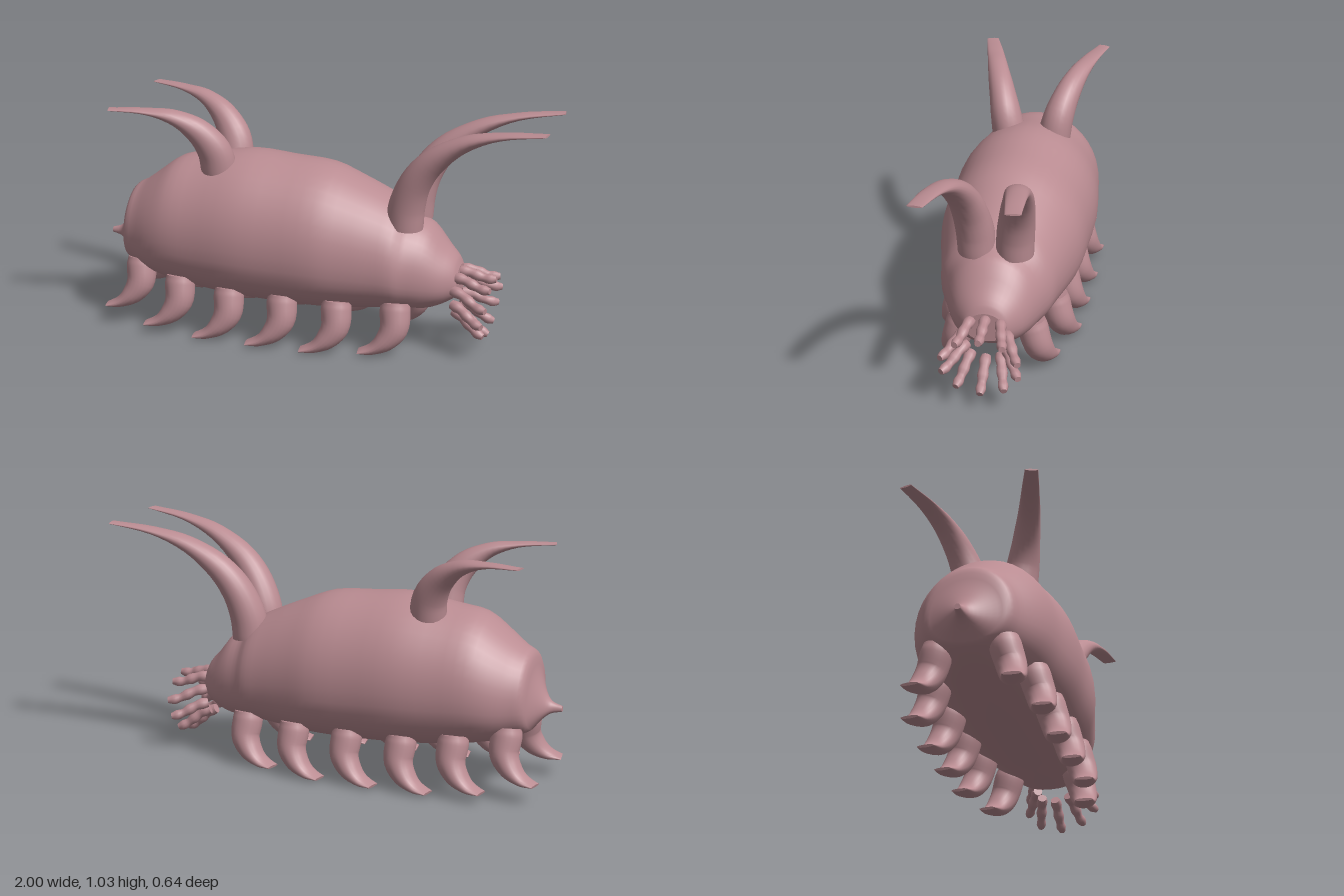
import * as THREE from 'three';

const V = (x, y, z) => new THREE.Vector3(x, y, z);

// Skins a list of closed rings (counter-clockwise around the direction of travel) and caps both ends
function skin(rings) {
  const n = rings[0].length, pos = [], idx = [];
  const push = (p) => pos.push(p.x, p.y, p.z);
  rings.forEach((r) => r.forEach(push));
  for (let i = 0; i < rings.length - 1; i++) {
    for (let j = 0; j < n; j++) {
      const a = i * n + j, b = i * n + (j + 1) % n;
      idx.push(a, b, a + n, b, b + n, a + n);
    }
  }
  [rings[0], rings[rings.length - 1]].forEach((ring, end) => {
    const base = pos.length / 3;
    ring.forEach(push);
    push(ring.reduce((s, p) => s.add(p), V(0, 0, 0)).divideScalar(n));
    for (let j = 0; j < n; j++) {
      const a = base + j, b = base + (j + 1) % n;
      if (end) idx.push(a, b, base + n); else idx.push(b, a, base + n);
    }
  });
  const g = new THREE.BufferGeometry();
  g.setAttribute('position', new THREE.Float32BufferAttribute(pos, 3));
  g.setIndex(idx);
  g.computeVertexNormals();
  return g;
}

// Sweeps an ellipse along a curve; each row is x, y, z, half thickness, half width in z
function horn(rows, steps = 24, sides = 20) {
  const path = new THREE.CatmullRomCurve3(rows.map((r) => V(r[0], r[1], r[2])));
  const size = new THREE.CatmullRomCurve3(rows.map((r) => V(r[3], r[4], 0)), false, 'catmullrom', 0.4);
  const rings = [];
  for (let i = 0; i <= steps; i++) {
    const c = path.getPoint(i / steps), t = path.getTangent(i / steps), s = size.getPoint(i / steps);
    const n = V(0, 0, 1).cross(t).normalize(), b = t.clone().cross(n);
    rings.push(Array.from({ length: sides }, (_, j) => {
      const a = j / sides * Math.PI * 2;
      return c.clone().addScaledVector(n, Math.cos(a) * s.x).addScaledVector(b, Math.sin(a) * s.y);
    }));
  }
  return skin(rings);
}

// Plump body: each row is x, bottom, top, half width
function bodyGeometry() {
  const rows = [
    [-1.0, 0.348, 0.372, 0.012], [-0.955, 0.337, 0.388, 0.025], [-0.925, 0.315, 0.425, 0.06],
    [-0.89, 0.275, 0.51, 0.13], [-0.87, 0.255, 0.59, 0.175], [-0.82, 0.235, 0.62, 0.205],
    [-0.74, 0.21, 0.68, 0.25], [-0.65, 0.19, 0.742, 0.28], [-0.52, 0.17, 0.765, 0.298],
    [-0.34, 0.155, 0.797, 0.32], [-0.15, 0.148, 0.785, 0.317], [0.03, 0.148, 0.77, 0.312],
    [0.16, 0.155, 0.722, 0.285], [0.28, 0.168, 0.67, 0.258], [0.36, 0.175, 0.63, 0.24],
    [0.41, 0.178, 0.58, 0.215], [0.48, 0.18, 0.548, 0.185], [0.55, 0.205, 0.465, 0.145],
    [0.6, 0.235, 0.41, 0.1], [0.615, 0.25, 0.375, 0.08],
  ];
  const sides = 40, sub = 3, rings = [];
  const curve = (f) => new THREE.CatmullRomCurve3(rows.map(f));
  const ends = curve((r) => V(r[0], r[1], r[2])), width = curve((r) => V(r[0], r[3], 0));
  const steps = (rows.length - 1) * sub;
  for (let i = 0; i <= steps; i++) {
    const e = ends.getPoint(i / steps), w = width.getPoint(i / steps).y;
    const mid = e.y + (e.z - e.y) * 0.43;
    rings.push(Array.from({ length: sides }, (_, j) => {
      const a = j / sides * Math.PI * 2, c = Math.cos(a), s = Math.sin(a);
      // The belly is a little squarer than the back
      const k = c < 0 ? 0.87 : 1;
      const y = Math.sign(c) * Math.abs(c) ** k * (c < 0 ? mid - e.y : e.z - mid);
      return V(e.x, mid + y, Math.sign(s) * Math.abs(s) ** k * w);
    }));
  }
  return skin(rings);
}

export function createModel() {
  const model = new THREE.Group();
  model.name = 'seaCreature';
  const pink = new THREE.MeshStandardMaterial({ color: 0xba8c92 });
  pink.name = 'dusty pink skin';
  const add = (name, geometry) => {
    const m = new THREE.Mesh(geometry, pink);
    m.name = name;
    model.add(m);
  };

  add('body', bodyGeometry());

  const frontHorn = [
    [0.385, 0.55, 0.08, 0.08, 0.08], [0.395, 0.64, 0.085, 0.078, 0.08], [0.435, 0.75, 0.1, 0.068, 0.074],
    [0.51, 0.85, 0.118, 0.056, 0.064], [0.65, 0.947, 0.14, 0.034, 0.052],
    [0.81, 1.0, 0.163, 0.015, 0.042], [1.0, 1.026, 0.187, 0.004, 0.032],
  ];
  const rearHorn = [
    [-0.44, 0.71, 0.1, 0.08, 0.075], [-0.455, 0.81, 0.12, 0.074, 0.068], [-0.515, 0.9, 0.15, 0.056, 0.057],
    [-0.61, 0.963, 0.185, 0.032, 0.046], [-0.73, 0.99, 0.22, 0.012, 0.037], [-0.88, 0.997, 0.262, 0.004, 0.027],
  ];
  // Leg shape, relative to the top centre of each leg
  const leg = [
    [0, 0.035, -0.008, 0.06, 0.06], [0, 0, 0, 0.066, 0.065], [0.002, -0.07, 0.02, 0.062, 0.062],
    [-0.03, -0.125, 0.036, 0.048, 0.057], [-0.085, -0.165, 0.05, 0.025, 0.048], [-0.145, -0.18, 0.06, 0.006, 0.038],
  ];
  // Leg positions: x, top height, distance from the middle
  const legs = [
    [-0.805, 0.26, 0.14], [-0.595, 0.22, 0.205], [-0.365, 0.192, 0.21],
    [-0.12, 0.19, 0.212], [0.125, 0.19, 0.21], [0.37, 0.192, 0.155],
  ];
  for (const side of [1, -1]) {
    const label = side > 0 ? 'left' : 'right';
    const mirror = (rows) => rows.map(([x, y, z, a, b]) => [x, y, z * side, a, b]);
    add(label + 'FrontHorn', horn(mirror(frontHorn)));
    add(label + 'RearHorn', horn(mirror(rearHorn)));
    legs.forEach(([x, y, z], i) => add(label + 'Leg' + (i + 1),
      horn(mirror(leg.map((r) => [r[0] + x, r[1] + y, r[2] + z, r[3], r[4]])))));
  }

  // Knobbly mouth tentacles: base y, z and tip x, y, z
  const feelers = [
    [0.345, 0, 0.77, 0.325, 0], [0.335, 0.06, 0.765, 0.305, 0.098], [0.285, 0.085, 0.76, 0.235, 0.16],
    [0.22, 0.08, 0.745, 0.162, 0.16], [0.185, 0.06, 0.74, 0.096, 0.1], [0.17, 0, 0.74, 0.07, 0],
  ];
  feelers.forEach(([y, z, tx, ty, tz], i) => {
    for (const side of z ? [1, -1] : [1]) {
      const rows = [0.021, 0.025, 0.02, 0.024, 0.018, 0.022, 0.014].map((r, k) => {
        const t = k / 6, sag = Math.sin(t * Math.PI * 2) * 0.006;
        return [0.6 + (tx - 0.6) * t, y + (ty - y) * t + sag, (z + (tz - z) * t) * side, r, r];
      });
      add('mouthTentacle' + (i + 1) + (z ? (side > 0 ? 'Left' : 'Right') : ''), horn(rows, 18, 10));
    }
  });
  return model;
}
